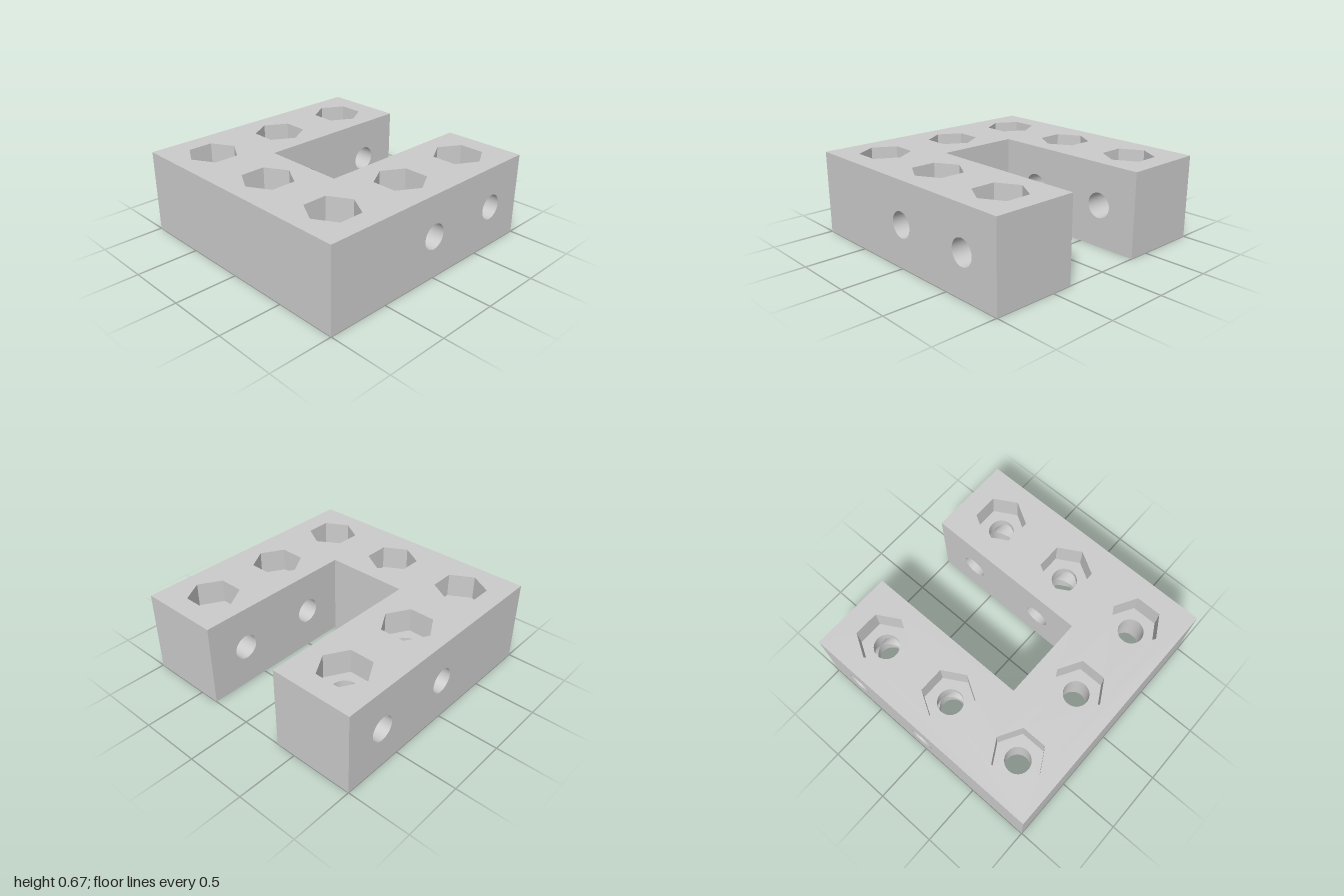
import * as THREE from 'three';

const H = 2 / 3, C = H / 2, T = 1 / 3;    // height, mid height, notch half width
const R = 0.1, HEX = 0.2, DEPTH = 0.19;   // bolt hole radius, pocket radius and depth
const SEG = 48;

const ngon = (n, r, phase = 0, cx = 0, cy = 0) =>
  Array.from({ length: n }, (_, i) => {
    const a = phase + (i / n) * Math.PI * 2;
    return new THREE.Vector2(cx + r * Math.cos(a), cy + r * Math.sin(a));
  });

// Flat sheet facing +z, with polygon holes
function sheet(outline, holes = []) {
  const shape = new THREE.Shape(outline);
  for (const h of holes) shape.holes.push(new THREE.Path(h));
  return new THREE.ShapeGeometry(shape);
}

const rect = (x0, y0, x1, y1) =>
  [[x0, y0], [x1, y0], [x1, y1], [x0, y1]].map(p => new THREE.Vector2(...p));

// Inward-facing wall along y; lo and hi give the end heights at each ring point
function bore(ring, lo, hi, flat = false) {
  const pos = [], index = [], n = ring.length;
  ring.forEach((p, i) => {
    pos.push(p.x, lo(p), p.y, p.x, hi(p), p.y);
    const a = 2 * i, b = 2 * ((i + 1) % n);
    index.push(a, b, a + 1, b, b + 1, a + 1);
  });
  let g = new THREE.BufferGeometry();
  g.setAttribute('position', new THREE.Float32BufferAttribute(pos, 3));
  g.setIndex(index);
  if (flat) g = g.toNonIndexed();
  g.computeVertexNormals();
  return g;
}

export function createModel() {
  const model = new THREE.Group();
  model.name = 'connectorBlock';
  const material = new THREE.MeshStandardMaterial({ color: 0xcccccc });
  const add = (name, geometry, x, y, z) => {
    const mesh = new THREE.Mesh(geometry, material);
    mesh.name = name;
    mesh.position.set(x, y, z);
    model.add(mesh);
  };

  // Bolt positions: four on the arms (crossed by side holes), three on the bridge
  const bolts = [];
  for (const x of [-H, H]) for (const z of [-H, 0]) bolts.push({ x, z, phase: 0, crossed: true });
  for (const x of [-H, 0, H]) bolts.push({ x, z: H, phase: Math.PI / 6, crossed: false });

  // Top and bottom U-shaped faces with hexagonal openings
  for (const s of [1, -1]) {
    const u = [[-1, -1], [-T, -1], [-T, T], [T, T], [T, -1], [1, -1], [1, 1], [-1, 1]]
      .map(([x, z]) => new THREE.Vector2(x, -s * z));
    const holes = bolts.map(b => ngon(6, HEX, b.phase, b.x, -s * b.z));
    add(s > 0 ? 'topFace' : 'bottomFace',
      sheet(u, holes).rotateX(-s * Math.PI / 2), 0, s > 0 ? H : 0, 0);
  }

  // Front, arm ends and the inner wall of the notch
  add('frontFace', sheet(rect(-1, 0, 1, H)), 0, 0, 1);
  for (const x of [-H, H]) add('armEnd', sheet(rect(-T, 0, T, H)).rotateY(Math.PI), x, 0, -1);
  add('notchWall', sheet(rect(-T, 0, T, H)).rotateY(Math.PI), 0, 0, T);

  // Outer and inner arm sides, each with two round side holes
  for (const s of [1, -1]) {
    const side = (facing, zEnd) => sheet(
      rect(-facing * -1, 0, -facing * zEnd, H),
      [-H, 0].map(z => ngon(SEG, R, 0, -facing * z, C))
    ).rotateY(facing * Math.PI / 2);
    add('armOuterSide', side(s, 1), s, 0, 0);
    add('armInnerSide', side(-s, T), s * T, 0, 0);
  }

  const circle = ngon(SEG, R);
  const miter = p => Math.abs(p.x);       // seam where two equal bores cross
  const zero = () => 0;
  for (const { x, z, phase, crossed } of bolts) {
    const hex = ngon(6, HEX, phase), seam = crossed ? miter : zero;
    for (const s of [1, -1]) {
      // Half a bore, from the block's middle out to the given distance
      const half = (end, cut) => s > 0
        ? bore(circle, cut, () => end)
        : bore(circle, () => -end, p => -cut(p));

      // Nut pocket walls and floor
      add('nutPocketWall', bore(hex, () => -DEPTH / 2, () => DEPTH / 2, true),
        x, C + s * (C - DEPTH / 2), z);
      add('nutPocketFloor', sheet(hex, [circle]).rotateX(-s * Math.PI / 2),
        x, C + s * (C - DEPTH), z);

      // Upright bolt hole, and the side hole crossing it
      add('boltHole', half(C - DEPTH, seam), x, C, z);
      if (crossed) add('sideHole', half(T, miter).rotateZ(Math.PI / 2), x, C, z);
    }
  }
  return model;
}
